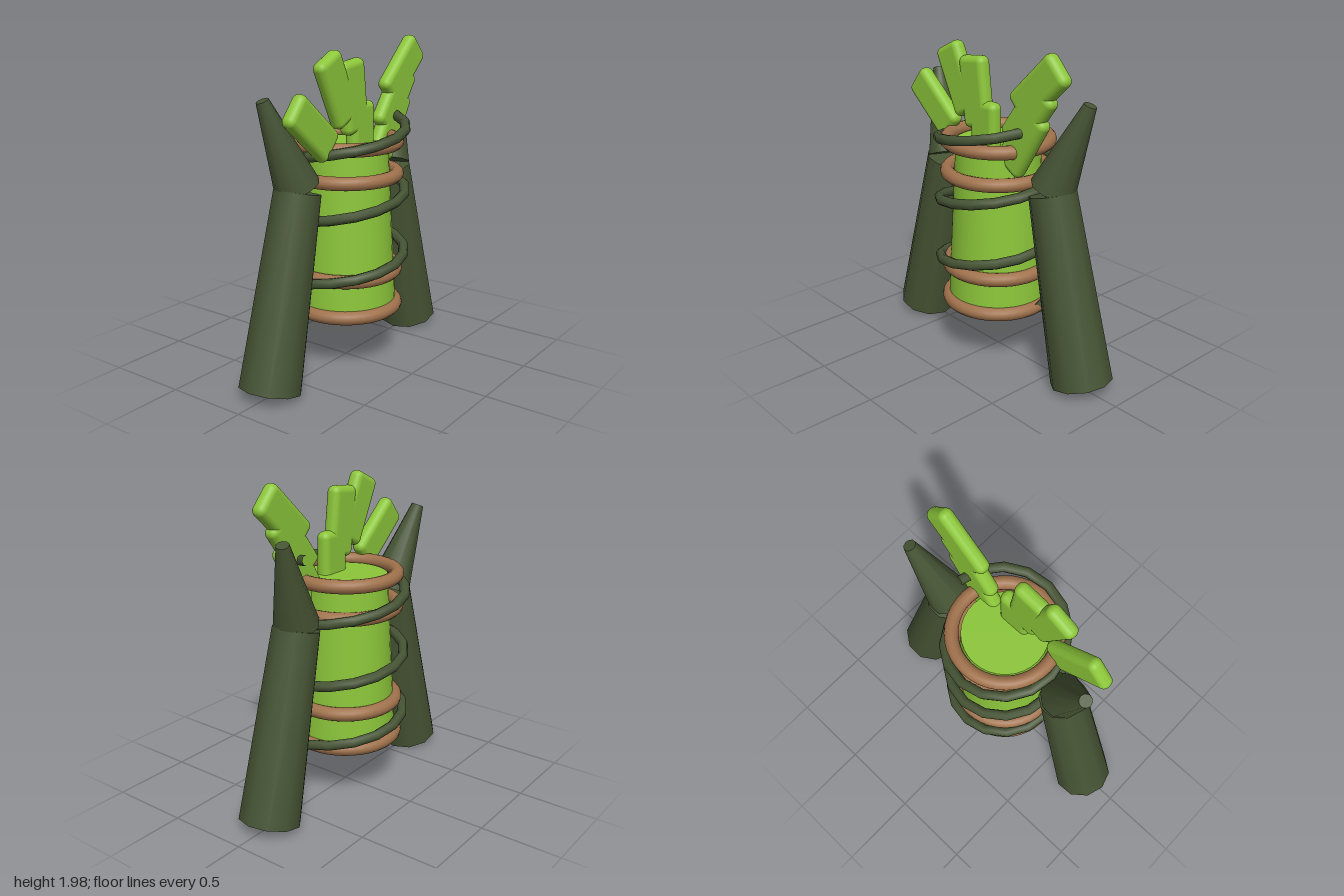
import * as THREE from 'three';
import { RoundedBoxGeometry } from 'three/addons/geometries/RoundedBoxGeometry.js';

const paint = (name, color) => {
  const m = new THREE.MeshStandardMaterial({ color });
  m.name = name;
  return m;
};

export function createModel() {
  const model = new THREE.Group();
  const lime = paint('lime green', 0x8cc63a);
  const dark = paint('dark olive', 0x465434);
  const brown = paint('clay brown', 0xa0724c);

  const add = (name, geometry, material) => {
    const mesh = new THREE.Mesh(geometry, material);
    mesh.name = name;
    model.add(mesh);
    return mesh;
  };

  // tapered cylinder between two points, radius r0 at a and r1 at b
  const limb = (name, a, b, r0, r1, sides) => {
    const dir = b.clone().sub(a);
    const geo = new THREE.CylinderGeometry(r1, r0, dir.length(), sides);
    geo.rotateY(Math.PI / 2);
    const mesh = add(name, geo, dark);
    mesh.position.copy(a).add(b).multiplyScalar(0.5);
    mesh.quaternion.setFromUnitVectors(new THREE.Vector3(0, 1, 0), dir.normalize());
  };

  // barrel body
  add('body', new THREE.CylinderGeometry(0.255, 0.31, 1.01, 32), lime).position.y = 0.875;

  // hoops round the body
  for (const y of [0.372, 0.6, 1.195, 1.39]) {
    const hoop = add('hoop', new THREE.TorusGeometry(0.308, 0.042, 12, 40), brown);
    hoop.rotation.x = Math.PI / 2;
    hoop.position.y = y;
  }

  // vine winding three turns up the body
  const points = [];
  for (let i = 0; i <= 48; i++) {
    const t = i / 16, a = -t * Math.PI * 2;
    points.push(new THREE.Vector3(0.36 * Math.cos(a), 0.39 + 0.383 * t, 0.36 * Math.sin(a)));
  }
  add('vine', new THREE.TubeGeometry(new THREE.CatmullRomCurve3(points), 48, 0.031, 8), dark);

  // splayed legs with a horn on each
  for (const [side, s] of [['left', 1], ['right', -1]]) {
    limb(side + 'Leg', new THREE.Vector3(0.732 * s, 0.052, 0),
      new THREE.Vector3(0.46 * s, 1.165, 0), 0.187, 0.143, 10);
    limb(side + 'Horn', new THREE.Vector3(0.463 * s, 1.19, 0),
      new THREE.Vector3(0.652 * s, 1.698, -0.08), 0.137, 0.038, 10);
  }

  // flat leaves: x, y, lean in degrees (positive leans to -x)
  const leaf = new RoundedBoxGeometry(0.21, 0.43, 0.09, 3, 0.04);
  const leaves = [
    [-0.46, 1.535, 50], [-0.23, 1.725, 26], [-0.075, 1.67, 7], [0.005, 1.42, 0],
    [0.32, 1.46, -32], [0.365, 1.61, -37], [0.445, 1.78, -47],
  ];
  for (const [x, y, lean] of leaves) {
    const mesh = add('leaf', leaf, lime);
    mesh.position.set(x, y, 0.1);
    mesh.rotation.z = THREE.MathUtils.degToRad(lean);
  }

  return model;
}
